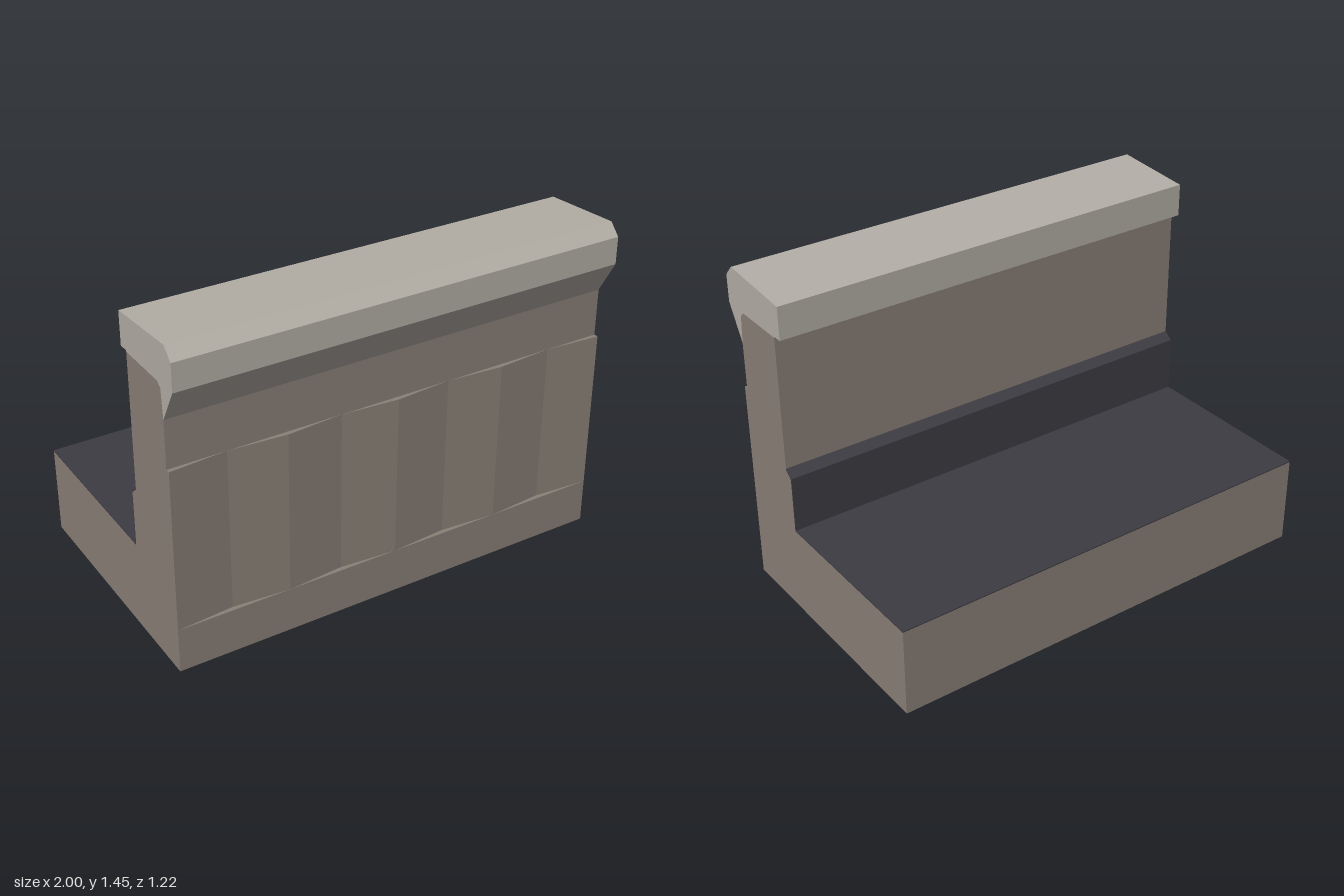
import * as THREE from 'three';

const LENGTH = 2;
const WALL_Z = 0.525, BASE_Z = 0.545;
const SKIN = 0.005; // thickness of the dark surfacing

const material = (name, color) => {
  const m = new THREE.MeshStandardMaterial({ color });
  m.name = name;
  return m;
};

// Extrude a [z, y] cross-section along the full length in x
function sweep(name, points, mat) {
  const shape = new THREE.Shape(points.map(([z, y]) => new THREE.Vector2(z, y)));
  const geo = new THREE.ExtrudeGeometry(shape, { depth: LENGTH, bevelEnabled: false });
  geo.translate(0, 0, -LENGTH / 2).rotateY(-Math.PI / 2);
  const mesh = new THREE.Mesh(geo, mat);
  mesh.name = name;
  return mesh;
}

export function createModel() {
  const stone = material('brown stone', 0x8a8077);
  const coping = material('pale coping stone', 0xb4afa7);
  const asphalt = material('dark asphalt', 0x3e3c43);
  const group = new THREE.Group();
  group.name = 'parapetWall';

  // Deck and upright wall in one section, shaved where the surfacing lies
  group.add(sweep('wallAndDeck', [
    [-0.61, 0], [BASE_Z, 0], [BASE_Z, 0.2], [WALL_Z, 0.2], [WALL_Z, 1.13],
    [0.515, 1.255], [0.492, 1.275], [0.24, 1.275], [0.24, 0.68 - SKIN],
    [0.2 + SKIN, 0.65 - SKIN], [0.2 + SKIN, 0.4 - SKIN], [-0.61, 0.4 - SKIN],
  ], stone));

  // Thin surfacing over the deck, kerb riser and kerb chamfer
  group.add(sweep('deckSurface', [
    [-0.61, 0.4 - SKIN], [0.2 + SKIN, 0.4 - SKIN], [0.2 + SKIN, 0.65 - SKIN],
    [0.24, 0.68 - SKIN], [0.24, 0.68], [0.2, 0.65], [0.2, 0.4], [-0.61, 0.4],
  ], asphalt));

  // Coping, notched over the rounded wall top
  group.add(sweep('coping', [
    [0.195, 1.28], [0.24, 1.28], [0.24, 1.275], [0.492, 1.275], [0.515, 1.255],
    [WALL_Z, 1.13], [0.61, 1.28], [0.61, 1.4], [0.562, 1.45], [0.195, 1.425],
  ], coping));

  // Shallow folded facing on the front: ridges every 0.5, valleys between
  const fold = new THREE.Shape();
  fold.moveTo(-1, -0.515);
  for (let i = 0; i <= 8; i++) fold.lineTo(-1 + i * 0.25, -(i % 2 ? WALL_Z : BASE_Z));
  fold.lineTo(1, -0.515);
  const foldGeo = new THREE.ExtrudeGeometry(fold, { depth: 0.72, bevelEnabled: false });
  foldGeo.rotateX(-Math.PI / 2).translate(0, 0.2, 0);
  const facing = new THREE.Mesh(foldGeo, stone);
  facing.name = 'foldedFacing';
  group.add(facing);

  return group;
}
